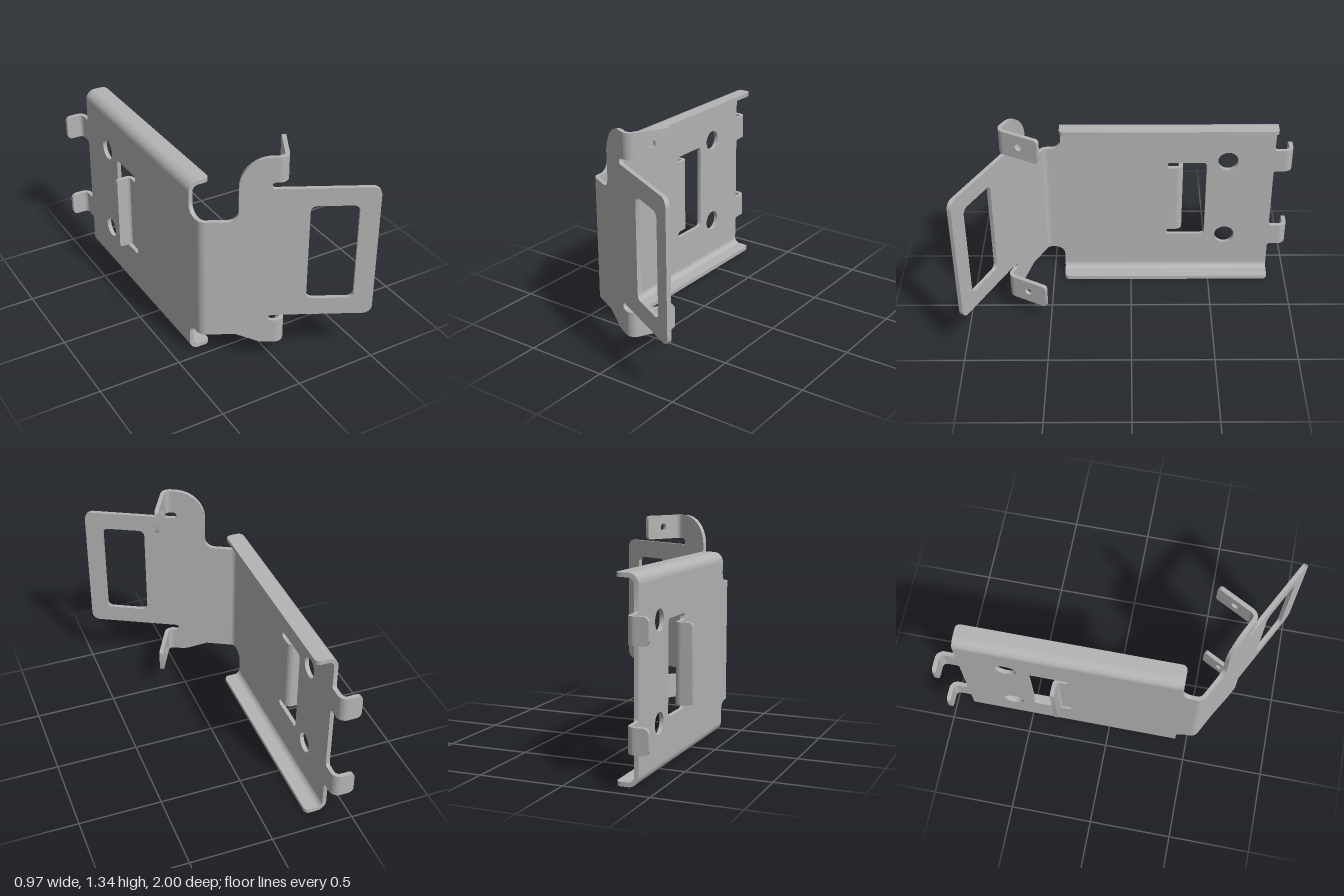
import * as THREE from 'three';
import { toCreasedNormals } from 'three/addons/utils/BufferGeometryUtils.js';

const T = 0.025; // sheet thickness
const V3 = (x, y, z) => new THREE.Vector3(x, y, z);
const X = V3(1, 0, 0), Y = V3(0, 1, 0), Z = V3(0, 0, 1);
const neg = (v) => v.clone().negate();
const along = (o, ...terms) => {
  const p = o.clone();
  for (const [dir, k] of terms) p.addScaledVector(dir, k);
  return p;
};

// Closed outline from [x, y, cornerRadius] points
function rounded(points, path = new THREE.Shape()) {
  const n = points.length;
  points.forEach(([x, y, r = 0], i) => {
    const p = new THREE.Vector2(x, y);
    const a = new THREE.Vector2(...points[(i + n - 1) % n].slice(0, 2)).sub(p).normalize();
    const b = new THREE.Vector2(...points[(i + 1) % n].slice(0, 2)).sub(p).normalize();
    const turn = Math.PI - Math.acos(THREE.MathUtils.clamp(a.dot(b), -1, 1));
    const d = r * Math.tan(turn / 2), k = d - r * (4 / 3) * Math.tan(turn / 4);
    const at = (dir, m) => [p.x + dir.x * m, p.y + dir.y * m];
    if (i === 0) path.moveTo(...at(a, d));
    else path.lineTo(...at(a, d));
    if (r > 0) path.bezierCurveTo(...at(a, k), ...at(b, k), ...at(b, d));
  });
  path.closePath();
  return path;
}

const circle = (x, y, r) => new THREE.Path().absarc(x, y, r, 0, Math.PI * 2, true);

export function createModel() {
  const model = new THREE.Group();
  model.name = 'sheetMetalBracket';
  const steel = new THREE.MeshStandardMaterial({ color: 0xb4b4b4 });
  steel.name = 'grey steel';

  // Extrude a shape drawn in the plane (u, v), starting at origin, along u x v
  function extrude(name, shape, depth, origin, u, v, parent = model) {
    const flat = new THREE.ExtrudeGeometry(shape, { depth, bevelEnabled: false, curveSegments: 14 });
    const w = u.clone().cross(v);
    flat.applyMatrix4(new THREE.Matrix4().makeBasis(u, v, w).setPosition(origin));
    const mesh = new THREE.Mesh(toCreasedNormals(flat, 0.5), steel);
    mesh.name = name;
    parent.add(mesh);
  }

  // Bend that leaves along u and turns towards v, followed by a flat leg
  function fold(name, origin, u, v, { width, angle = Math.PI / 2, r, leg = 0, corner = 0, hole }) {
    const group = new THREE.Group();
    group.name = name;
    model.add(group);
    const start = -Math.PI / 2;
    const arc = new THREE.Shape();
    arc.absarc(0, r, r, start, start + angle, false);
    arc.absarc(0, r, r - T, start + angle, start, true);
    arc.closePath();
    extrude(name + 'Bend', arc, width, origin, u, v, group);
    if (!leg) return;
    const c = Math.cos(angle), s = Math.sin(angle);
    const heading = along(V3(0, 0, 0), [u, c], [v, s]);
    const normal = along(V3(0, 0, 0), [u, -s], [v, c]);
    const end = along(origin, [u, r * s], [v, r - r * c], [normal, T]);
    const plate = rounded([[0, 0], [leg, 0, corner], [leg, width, corner], [0, width]]);
    if (hole) plate.holes.push(circle(...hole));
    extrude(name + 'Leg', plate, T, end, heading, u.clone().cross(v), group);
  }

  const outer = -0.387, inner = outer + T;
  const front = 0.43, back = -0.885;

  // Main side plate, drawn in (z, y)
  const plate = rounded([
    [0.511, 0.19], [0.511, 0.945], [front, 0.945, 0.06], [front, 1.07], [back, 1.07],
    [back, 0.925, 0.015], [-0.95, 0.925], [-0.95, 0.775], [back, 0.775, 0.015],
    [back, 0.355, 0.015], [-0.95, 0.355], [-0.95, 0.21], [back, 0.21, 0.015],
    [back, 0.06], [front, 0.06], [front, 0.19, 0.06],
  ]);
  plate.holes.push(
    circle(-0.6, 0.85, 0.063),
    circle(-0.6, 0.285, 0.063),
    // window with relief slots around the pressed-out flap
    rounded([
      [-0.225, 0.84, 0.018], [-0.47, 0.84, 0.025], [-0.47, 0.29, 0.025], [-0.225, 0.29, 0.018],
      [-0.225, 0.33, 0.018], [-0.285, 0.33], [-0.285, 0.8], [-0.225, 0.8, 0.018],
    ], new THREE.Path()),
  );
  extrude('sidePlate', plate, T, V3(inner, 0, 0), Z, Y);

  // Long flanges along the top and bottom edges
  const flange = { width: front - back, r: 0.06, leg: 0.072, corner: 0.03 };
  fold('topFlange', V3(outer, 1.07, front), Y, X, flange);
  fold('bottomFlange', V3(outer, 0.06, back), neg(Y), X, flange);

  // Rear tabs and window flap, all turned outwards
  for (const [name, y, width] of [['upperRearTab', 0.775, 0.15], ['lowerRearTab', 0.21, 0.145]]) {
    fold(name, V3(inner, y, -0.95), neg(Z), neg(X), { width, r: 0.05, leg: 0.078, corner: 0.03 });
  }
  fold('windowFlap', V3(inner, 0.33, -0.285), neg(Z), neg(X), { width: 0.47, r: 0.04, leg: 0.068, corner: 0.02 });

  // Bend from the side plate into the slanted front wing
  const angle = THREE.MathUtils.degToRad(62.2);
  fold('wingBend', V3(outer, 0.19, 0.511), Z, X, { width: 0.755, angle, r: 0.06 });

  // Front wing, drawn in (distance along the wing, y)
  const dir = V3(Math.sin(angle), 0, Math.cos(angle));
  const inward = V3(Math.cos(angle), 0, -Math.sin(angle));
  const root = V3(outer, 0, 0.547);
  const S = (x) => (x - outer) / dir.x;
  const ear = 0.423, tip = 0.972, slot = S(-0.045);
  const wing = rounded([
    [0.036, 0.19], [S(-0.21), 0.19, 0.03], [S(-0.08), 0.128, 0.15], [ear, 0.128], [ear, 0.28],
    [slot, 0.28, 0.019], [slot, 0.32, 0.019], [tip, 0.32, 0.05], [tip, 1.145, 0.05],
    [slot, 1.145, 0.019], [slot, 1.185, 0.019], [ear, 1.185], [ear, 1.335],
    [S(-0.2), 1.335, 0.18], [S(-0.2), 0.945, 0.06], [0.036, 0.945],
  ]);
  const [w0, w1] = [S(0.14), S(0.375)];
  wing.holes.push(rounded([
    [w0, 0.43, 0.035], [w1, 0.43, 0.035], [w1, 1.035, 0.035], [w0, 1.035, 0.035],
  ], new THREE.Path()));
  extrude('frontWing', wing, T, along(root, [inward, T]), dir, Y);

  // Mounting ears folded square to the wing
  for (const [name, y, width] of [['upperEar', 1.185, 0.15], ['lowerEar', 0.128, 0.152]]) {
    fold(name, along(root, [dir, ear], [Y, y]), dir, inward,
      { width, r: 0.055, leg: 0.222, corner: 0.02, hole: [0.098, 0.075, 0.023] });
  }
  return model;
}
